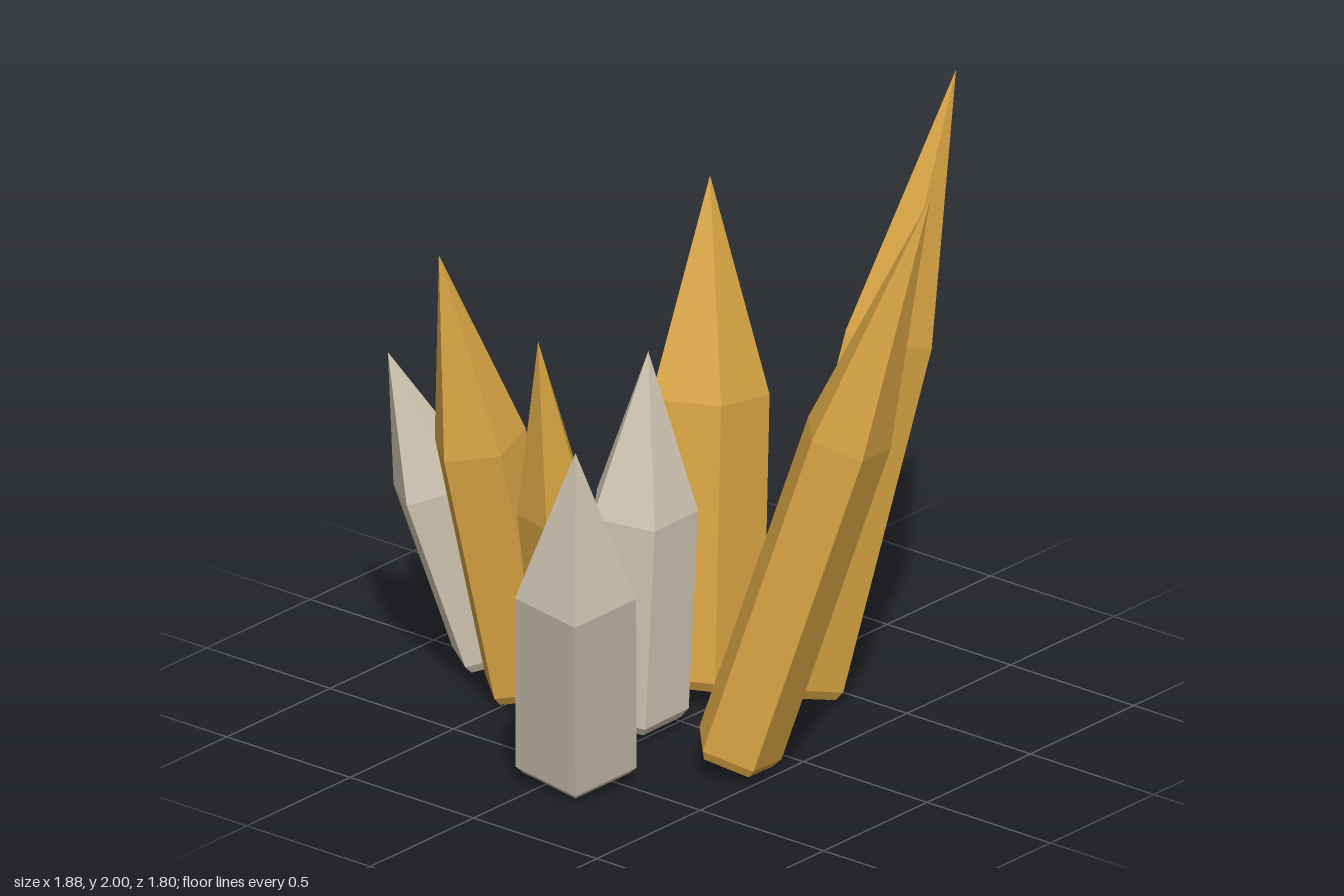
import * as THREE from 'three';

const SIDES = 5;      // every crystal is a pentagonal prism
const SHOULDER = 0.57; // where the shaft ends and the point begins

// One crystal: bevelled foot, straight shaft and pointed tip along the line base -> tip.
// angle is the heading of one corner in degrees, measured from +x towards +z.
function crystal(name, material, base, tip, radius, angle) {
  const from = new THREE.Vector3(...base);
  const axis = new THREE.Vector3(...tip).sub(from);
  const length = axis.length();
  const profile = [
    [0, 0],
    [radius * 0.88, 0],
    [radius, 0.03],
    [radius, length * SHOULDER],
    [0, length],
  ].map(([r, y]) => new THREE.Vector2(r, y));
  const start = Math.PI / 2 - THREE.MathUtils.degToRad(angle);
  const mesh = new THREE.Mesh(new THREE.LatheGeometry(profile, SIDES, start), material);
  mesh.name = name;
  mesh.position.copy(from);
  mesh.quaternion.setFromUnitVectors(new THREE.Vector3(0, 1, 0), axis.normalize());
  return mesh;
}

export function createModel() {
  const amber = new THREE.MeshStandardMaterial({ color: 0xdaa544, flatShading: true });
  amber.name = 'amber';
  const stone = new THREE.MeshStandardMaterial({ color: 0xd5cab6, flatShading: true });
  stone.name = 'pale stone';

  const group = new THREE.Group();
  group.name = 'crystalCluster';
  group.add(
    // Amber crystals
    crystal('tallBackCrystal', amber, [0.195, 0.055, -0.33], [0.355, 2.0, -0.91], 0.145, 118),
    crystal('tallLeftCrystal', amber, [0.39, 0.055, 0.205], [0.93, 1.99, -0.1], 0.145, 100),
    crystal('wideBackCrystal', amber, [-0.115, 0.035, -0.228], [-0.265, 1.62, -0.46], 0.2, 180),
    crystal('rightAmberCrystal', amber, [-0.47, 0.045, 0.165], [-0.61, 1.55, 0.44], 0.153, 167),
    crystal('slimFrontCrystal', amber, [-0.11, 0.05, 0.36], [-0.04, 1.48, 0.64], 0.12, 136),
    // Pale crystals
    crystal('farRightStone', stone, [-0.705, 0.06, 0.05], [-0.9, 1.11, 0.34], 0.143, 162),
    crystal('shortCentreStone', stone, [-0.265, 0.05, 0.16], [-0.25, 0.92, 0.25], 0.17, 178),
    crystal('centreStone', stone, [-0.09, 0.045, 0.13], [0, 1.3, 0.155], 0.178, 180),
    crystal('frontStone', stone, [0.04, 0.055, 0.55], [0.3, 1.27, 0.865], 0.198, 123),
  );
  return group;
}
